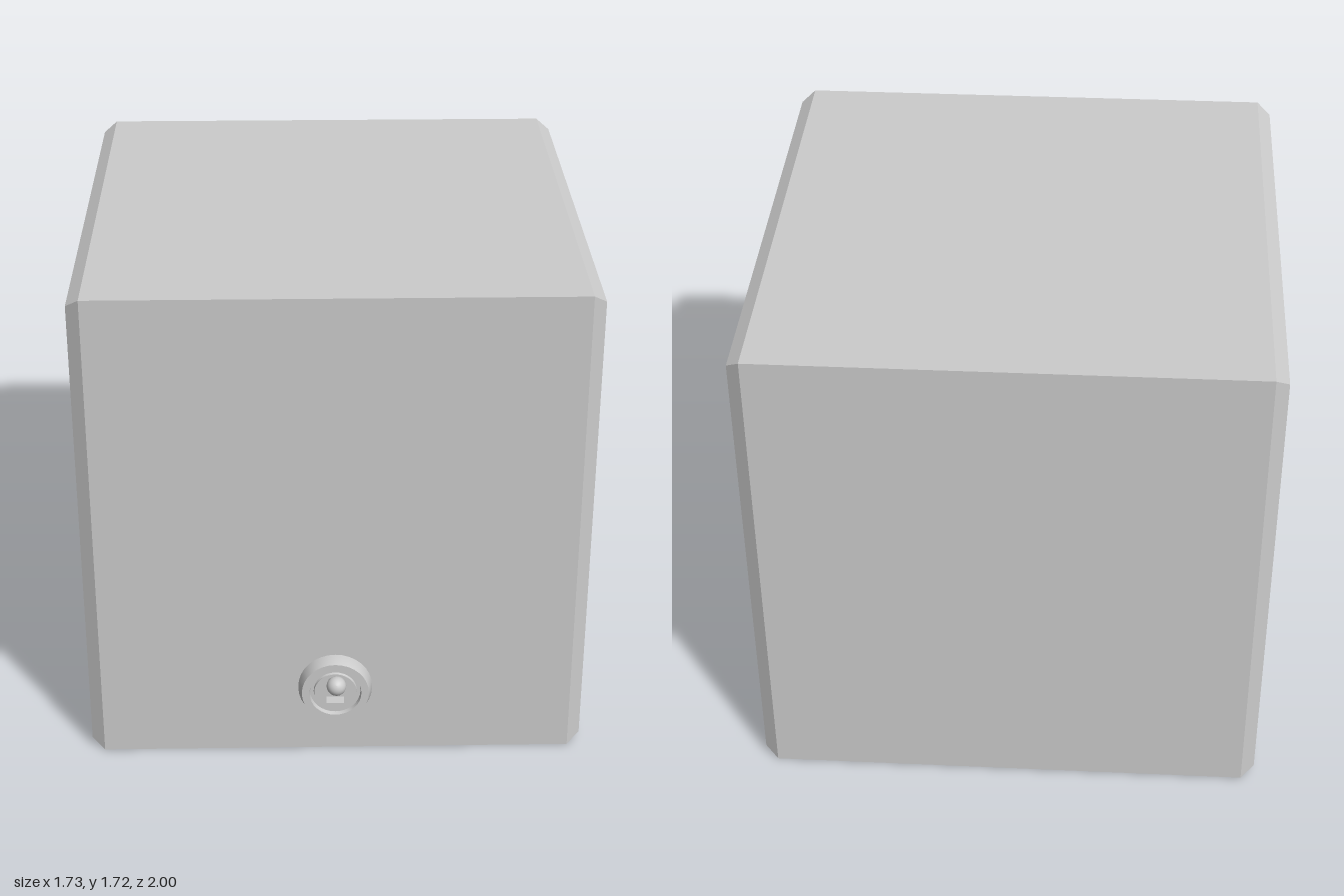
import * as THREE from 'three';
import { toCreasedNormals } from 'three/addons/utils/BufferGeometryUtils.js';

const CENTER_Z = -0.134;
const grey = new THREE.MeshStandardMaterial({ color: 0xcccccc });

function part(name, geometry, parent) {
  const mesh = new THREE.Mesh(geometry, grey);
  mesh.name = name;
  parent.add(mesh);
  return mesh;
}

function lathe(points, sides, start = 0) {
  return new THREE.LatheGeometry(points.map(([r, y]) => new THREE.Vector2(r, y)), sides, start);
}

export function createModel() {
  const model = new THREE.Group();

  // Housing: four-sided sleeve open at both ends, outer rims chamfered
  const housing = new THREE.Group();
  housing.name = 'housing';
  housing.position.set(0, 0.86, CENTER_Z);
  housing.rotation.y = 0.005;
  model.add(housing);

  const d = Math.SQRT2, outer = 0.862 * d, rim = 0.83 * d, inner = 0.7325 * d;
  const sleeve = lathe([
    [inner, -0.86], [rim, -0.86], [outer, -0.815], [outer, 0.815],
    [rim, 0.86], [inner, 0.86], [inner, -0.86],
  ], 4, Math.PI / 4);
  sleeve.rotateZ(Math.PI / 2);
  part('shell', toCreasedNormals(sleeve, 0.1), housing);

  // Raised floor sloping down to both openings
  const floor = new THREE.Shape([
    new THREE.Vector2(-0.858, -0.728), new THREE.Vector2(0.858, -0.728),
    new THREE.Vector2(0.2, -0.41), new THREE.Vector2(-0.2, -0.41),
  ]);
  const floorGeo = new THREE.ExtrudeGeometry(floor, { depth: 1.465, bevelEnabled: false });
  floorGeo.translate(0, 0, -0.7325);
  part('slopedFloor', floorGeo, housing);

  // Bulb on an octagonal socket
  const lamp = new THREE.Group();
  lamp.name = 'lamp';
  lamp.position.z = CENTER_Z;
  model.add(lamp);

  const socket = new THREE.CylinderGeometry(0.197, 0.197, 0.05, 8);
  socket.translate(0, 0.471, 0);
  part('socket', toCreasedNormals(socket, 0.3), lamp);

  const neck = lathe([
    [0.128, 0.49], [0.134, 0.5], [0.138, 0.56], [0.143, 0.568],
    [0.141, 0.575], [0.147, 0.582], [0.147, 0.592], [0, 0.592],
  ], 32);
  part('bulbNeck', toCreasedNormals(neck, 0.6), lamp);

  const glass = new THREE.SplineCurve([
    [0.147, 0.585], [0.172, 0.64], [0.213, 0.71], [0.25, 0.785], [0.266, 0.875],
    [0.253, 0.96], [0.21, 1.035], [0.15, 1.085], [0.08, 1.108], [0, 1.115],
  ].map(([r, y]) => new THREE.Vector2(r, y))).getPoints(28);
  glass[glass.length - 1].x = 0;
  part('bulbGlass', new THREE.LatheGeometry(glass, 32), lamp);

  // Toggle switch on the front wall
  const toggle = new THREE.Group();
  toggle.name = 'toggleSwitch';
  toggle.position.set(0, 0.257, 0.728);
  model.add(toggle);

  const collar = lathe([
    [0.128, 0], [0.128, 0.01], [0.116, 0.046], [0.09, 0.046],
    [0.087, 0.03], [0.075, 0.03], [0.072, 0.04],
  ], 32);
  collar.rotateX(Math.PI / 2);
  part('collar', toCreasedNormals(collar, 0.5), toggle);

  // Face plate with the rectangular lever slot
  const plate = new THREE.Shape();
  plate.absarc(0, 0, 0.073, 0, Math.PI * 2);
  plate.holes.push(new THREE.Path([
    new THREE.Vector2(-0.03, -0.045), new THREE.Vector2(-0.03, 0.045),
    new THREE.Vector2(0.03, 0.045), new THREE.Vector2(0.03, -0.045),
  ]));
  const plateGeo = new THREE.ExtrudeGeometry(plate, { depth: 0.04, bevelEnabled: false, curveSegments: 24 });
  part('slotPlate', toCreasedNormals(plateGeo, 0.5), toggle);

  // Flared lever with a rounded tip
  const base = new THREE.Vector3(0, 0.005, 0.015);
  const tip = new THREE.Vector3(0, 0.162, 0.239);
  const axis = tip.clone().sub(base);
  const length = axis.length();
  const profile = [[0, 0], [0.017, 0], [0.018, 0.08], [0.024, 0.16], [0.031, length - 0.02]];
  for (let i = 0; i <= 8; i++) {
    const a = (i / 8) * Math.PI / 2;
    profile.push([i === 8 ? 0 : 0.033 * Math.cos(a), length + 0.033 * Math.sin(a)]);
  }
  const lever = part('lever', lathe(profile, 20), toggle);
  lever.position.copy(base);
  lever.quaternion.setFromUnitVectors(new THREE.Vector3(0, 1, 0), axis.normalize());

  return model;
}
